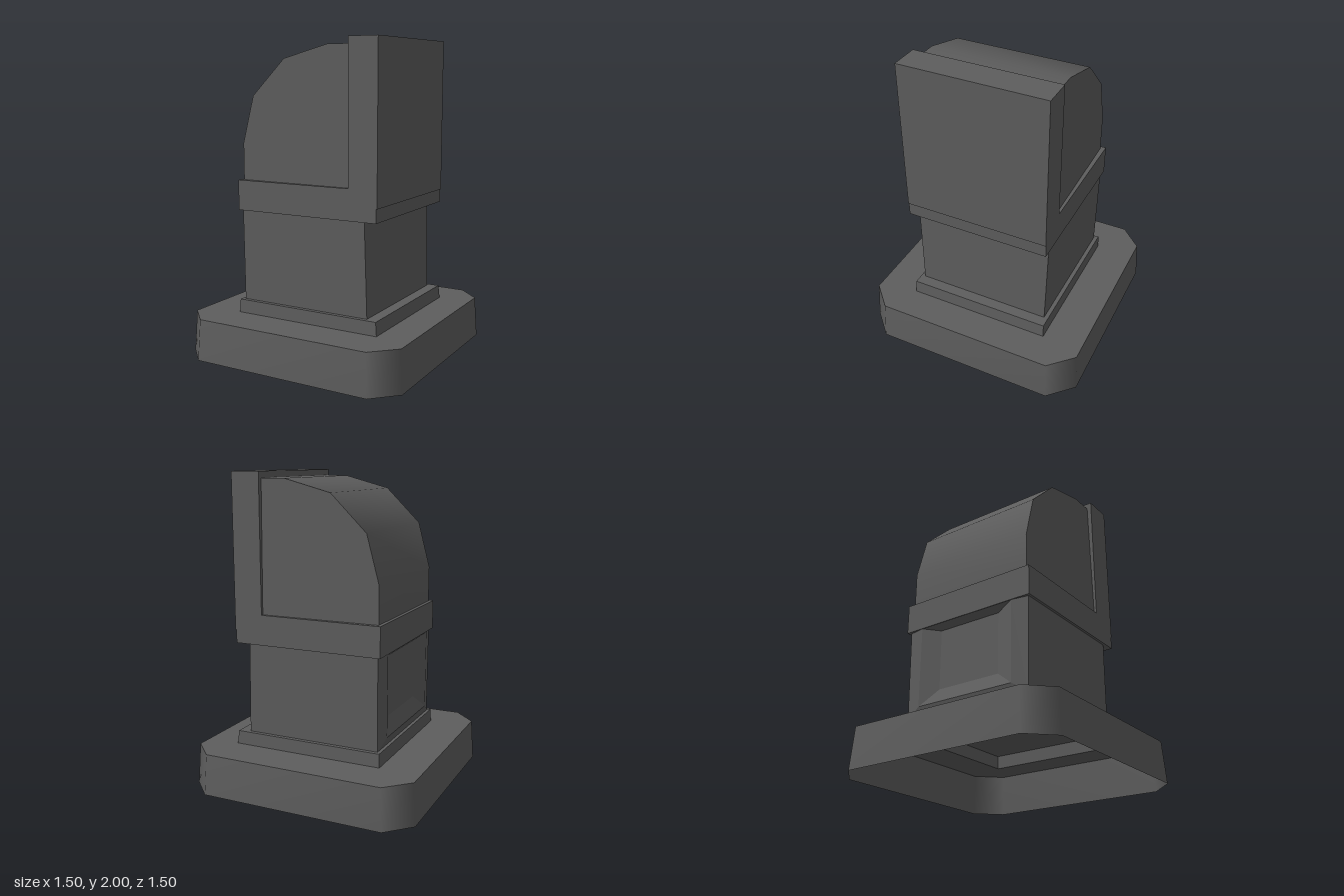
import * as THREE from 'three';

const darkGrey = new THREE.MeshStandardMaterial({ color: 0x5e5e5e, side: THREE.DoubleSide });

// Joins closed cross-sections with bands; 'skip' lists edges left open.
function loft(rings, { smooth = false, skip = [] } = {}) {
  const n = rings[0].length, pos = [], index = [];
  for (let r = 0; r < rings.length - 1; r++) {
    const base = pos.length / 3;
    pos.push(...rings[r].flat(), ...rings[r + 1].flat());
    for (let i = 0; i < n; i++) {
      if (skip.includes(i)) continue;
      const a = base + i, b = base + (i + 1) % n;
      index.push(a, b, b + n, a, b + n, a + n);
    }
  }
  let g = new THREE.BufferGeometry();
  g.setAttribute('position', new THREE.Float32BufferAttribute(pos, 3));
  g.setIndex(index);
  if (!smooth) g = g.toNonIndexed();
  g.computeVertexNormals();
  return g;
}

// Horizontal rectangle with chamfered corners.
const ring = (y, x0, x1, z, c = 0) => [
  [x0 + c, y, z], [x1 - c, y, z], [x1, y, z - c], [x1, y, c - z],
  [x1 - c, y, -z], [x0 + c, y, -z], [x0, y, c - z], [x0, y, z - c],
];

// Upright rectangle facing -x, with separate bottom and top half-widths.
const panel = (x, y0, y1, zb, zt = zb) => [[x, y0, -zb], [x, y0, zb], [x, y1, zt], [x, y1, -zt]];

export function createModel() {
  const model = new THREE.Group();
  const add = (name, geometry) => {
    const mesh = new THREE.Mesh(geometry, darkGrey);
    mesh.name = name;
    model.add(mesh);
    return mesh;
  };

  // Hollow base, open below
  const baseTop = ring(0.265, -0.735, 0.735, 0.735, 0.147);
  const stepBottom = ring(0.265, -0.472, 0.52, 0.476);
  const stepTop = ring(0.35, -0.468, 0.512, 0.472);
  add('baseSkirt', loft([ring(0, -0.75, 0.75, 0.75, 0.15), baseTop], { smooth: true }));
  add('baseTop', loft([baseTop, stepBottom]));
  add('plinthStep', loft([stepBottom, stepTop, ring(0.35, 0, 0, 0)]));

  // Column, slightly tapered, open on the side that takes the recessed frame
  add('column', loft([
    ring(0.35, -0.447, 0.44, 0.445),
    ring(0.935, -0.447, 0.425, 0.455),
  ], { skip: [6] }));

  // Frame rising gently to a rim, then sloping in to a shallow panel
  add('recessedFrame', loft([
    panel(-0.447, 0.35, 0.935, 0.445, 0.455),
    panel(-0.468, 0.413, 0.933, 0.345),
    panel(-0.425, 0.51, 0.9, 0.22),
    panel(-0.425, 0.7, 0.7, 0),
  ]));

  // Collar and upright slab in one L-shaped piece
  const outline = new THREE.Shape([
    [-0.468, 0.935], [0.51, 0.935], [0.51, 1.02], [0.516, 1.02], [0.516, 2],
    [0.325, 2], [0.325, 1.127], [-0.468, 1.127],
  ].map(([x, y]) => new THREE.Vector2(x, y)));
  const slab = add('collarAndSlab', new THREE.ExtrudeGeometry(outline, { depth: 0.944, bevelEnabled: false }));
  slab.position.z = -0.472;

  // Rounded hood; its sides fan out from the inner corner, slightly wider there
  const profile = [
    [0.325, 1.96], [0.17, 1.96], [-0.135, 1.88],
    [-0.365, 1.655], [-0.445, 1.36], [-0.445, 1.127],
  ];
  const side = (s) => profile.map(([x, y]) => [x, y, s * 0.441]);
  const corner = (s) => profile.map(() => [0.325, 1.127, s * 0.455]);
  add('hoodRoof', loft([side(-1), side(1)], { smooth: true, skip: [5] }));
  add('hoodFront', loft([side(1), corner(1)], { skip: [5] }));
  add('hoodBack', loft([corner(-1), side(-1)], { skip: [5] }));

  return model;
}
